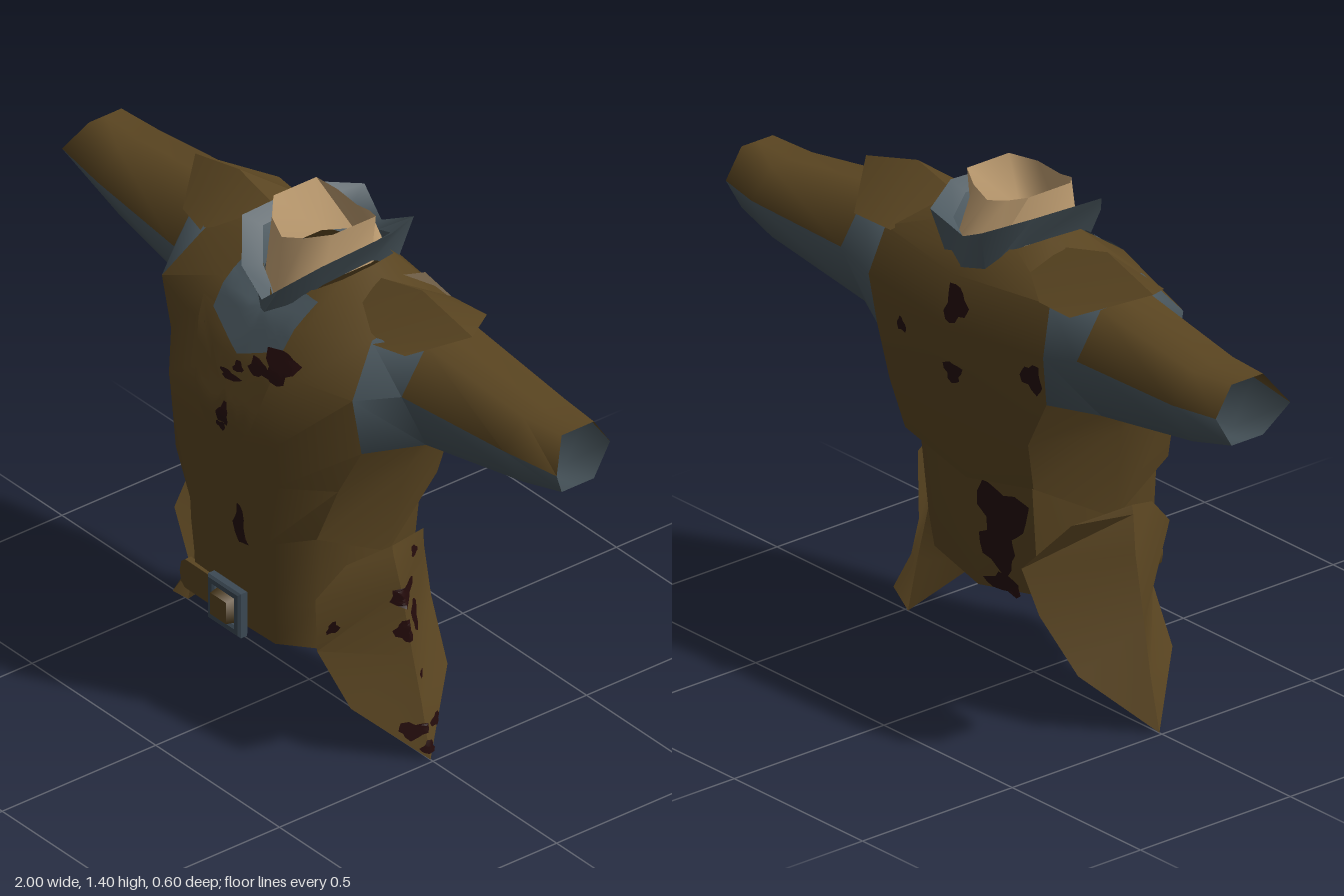
import * as THREE from 'three';
import { toCreasedNormals } from 'three/addons/utils/BufferGeometryUtils.js';

const mat = (name, color) => {
  const m = new THREE.MeshStandardMaterial({ color, side: THREE.DoubleSide });
  m.name = name;
  return m;
};

// Surface through rows of points; skip(i, j) leaves a cell open
function grid(rows, closed = false, crease = 0.9, skip = () => false) {
  const pos = [];
  const n = rows[0].length;
  for (let i = 0; i < rows.length - 1; i++) {
    for (let j = 0; j < (closed ? n : n - 1); j++) {
      if (skip(i, j)) continue;
      const k = (j + 1) % n;
      const a = rows[i][j], b = rows[i][k], c = rows[i + 1][j], d = rows[i + 1][k];
      pos.push(...a, ...b, ...d, ...a, ...d, ...c);
    }
  }
  const g = new THREE.BufferGeometry();
  g.setAttribute('position', new THREE.Float32BufferAttribute(pos, 3));
  g.computeVertexNormals();
  return toCreasedNormals(g, crease);
}

// Full ring from a half ring running front centre to back centre
const ring = half => [...half, ...half.slice(1, -1).reverse().map(([x, y, z]) => [-x, y, z])];

// Rows for one side, with the order flipped on the mirrored side
function sided(s, rows) {
  const r = rows.map(row => row.map(([x, y, z]) => [x * s, y, z]));
  return s > 0 ? r : r.reverse();
}

export function createModel() {
  const leather = mat('brown leather', 0x5a4521);
  const cloth = mat('slate cloth', 0x48555c);
  const lining = mat('tan lining', 0xc8a577);
  const metal = mat('buckle metal', 0x3c4954);
  const stain = mat('dark stain', 0x240b0b);

  const model = new THREE.Group();
  model.name = 'jacket';
  const add = (name, geo, material) => {
    const m = new THREE.Mesh(geo, material);
    m.name = name;
    model.add(m);
    return m;
  };

  // Jacket body, open at the armholes, neck and hem
  const body = [
    [[0, .52, .262], [.15, .58, .268], [.285, .64, .205], [.318, .54, 0], [.25, .66, -.215], [0, .61, -.225]],
    [[0, .78, .28], [.2, .78, .275], [.34, .8, .18], [.362, .8, -.02], [.27, .8, -.25], [0, .78, -.262]],
    [[0, .92, .29], [.22, .92, .28], [.385, .92, .14], [.395, .885, -.05], [.33, .93, -.24], [0, .95, -.285]],
    [[0, 1.08, .225], [.22, 1.09, .22], [.385, 1.09, .17], [.39, 1.08, -.08], [.34, 1.07, -.26], [0, 1.06, -.295]],
    [[0, 1.17, .165], [.17, 1.19, .155], [.34, 1.21, .07], [.35, 1.24, -.08], [.32, 1.2, -.22], [0, 1.19, -.268]],
    [[0, 1.2, .12], [.11, 1.25, .07], [.16, 1.285, .02], [.16, 1.29, -.08], [.13, 1.275, -.17], [0, 1.235, -.225]],
  ];
  const armhole = (i, j) => (i === 2 || i === 3) && [2, 3, 6, 7].includes(j);
  const jacket = add('jacketBody', grid(body.map(ring), true, .9, armhole), leather);

  // Waist section tucked under the jacket
  const waistRings = [
    [[0, .28, .245], [.16, .28, .24], [.245, .28, .17], [.26, .32, 0], [.2, .33, -.16], [0, .3, -.185]],
    [[0, .4, .25], [.16, .4, .245], [.26, .42, .175], [.28, .42, -.01], [.21, .42, -.17], [0, .42, -.195]],
    [[0, .66, .25], [.17, .68, .25], [.275, .72, .18], [.305, .68, 0], [.22, .74, -.2], [0, .7, -.215]],
  ];
  const waist = add('waist', grid(waistRings.map(ring), true), leather);

  // Flared collar, notched in a V at front and back, and its inner face
  const collarEdge = [[0, 1.2, .155], [.075, 1.267, .16], [.16, 1.35, .09], [.16, 1.36, -.14],
    [.1, 1.335, -.26], [0, 1.285, -.235]];
  const collarBase = [[0, 1.14, .165], [.065, 1.19, .125], [.105, 1.25, .04], [.105, 1.26, -.12],
    [.075, 1.2, -.225], [0, 1.195, -.25]];
  const collarInner = [[0, 1.19, .11], [.07, 1.25, .095], [.125, 1.32, .05], [.125, 1.33, -.12],
    [.08, 1.3, -.2], [0, 1.26, -.225]];
  add('collar', grid([collarBase, collarEdge].map(ring), true), cloth);
  add('collarInside', grid([collarEdge, collarInner].map(ring), true), cloth);

  // Standing neckband inside the collar
  const band = [
    [[0, 1.17, .115], [.06, 1.2, .1], [.1, 1.25, .04], [.1, 1.25, -.12], [.07, 1.24, -.2], [0, 1.24, -.23]],
    [[0, 1.362, .09], [.065, 1.382, .07], [.12, 1.4, .02], [.12, 1.4, -.12], [.065, 1.38, -.145], [0, 1.362, -.155]],
  ];
  add('neckband', grid(band.map(ring), true), lining);

  // Eight-point sleeve ring: front, over the top, back, under the arm
  const cuff = (x, tip, top, bottom, front, back) => {
    const f = front - (front - back) * .25, b = back + (front - back) * .25;
    const mid = (f + b) / 2;
    return [[tip, 1.1, front], [x, top, f], [x, top, mid], [x, top, b], [x, 1.1, back],
      [x, bottom, b], [x, bottom, mid], [x, bottom, f]];
  };
  const hole = [[3, 2], [4, 2], [4, 3], [4, 4], [3, 4], [2, 4], [2, 3], [2, 2]].map(([i, j]) => body[i][j]);
  const arm = [cuff(.955, 1, 1.18, 1.01, 0, -.21), cuff(.82, .82, 1.175, .98, .03, -.24),
    cuff(.46, .46, 1.22, .925, .07, -.25), hole];

  const flaps = [];
  for (const s of [1, -1]) {
    const side = s > 0 ? 'left' : 'right';
    // Sleeve: leather over the top, cloth underneath and all round the armhole
    const sleeve = grid(sided(s, arm), true, 1.3);
    const gussetRow = s > 0 ? 2 : 0;
    for (let i = 0; i < 3; i++) {
      sleeve.addGroup(i * 48, 24, i === gussetRow ? 1 : 0);
      sleeve.addGroup(i * 48 + 24, 24, 1);
    }
    add(side + 'Sleeve', sleeve, [leather, cloth]);

    // Peaked shoulder pad
    add(side + 'ShoulderPad', grid(sided(s, [
      [[.22, 1.245, .03], [.31, 1.2, .08], [.45, 1.21, .05]],
      [[.2, 1.275, -.07], [.37, 1.32, -.07], [.56, 1.27, -.08]],
      [[.22, 1.25, -.2], [.29, 1.2, -.23], [.42, 1.205, -.24]],
    ]), false, .5), leather);

    // Pointed hip flap: front edge, ridge, back edge from tip to top
    flaps.push(add(side + 'HipFlap', grid(sided(s, [
      [[.49, 0, 0], [.49, 0, 0], [.49, 0, 0]],
      [[.36, .15, .155], [.455, .15, 0], [.36, .16, -.16]],
      [[.255, .28, .18], [.425, .28, .005], [.25, .3, -.195]],
      [[.285, .46, .21], [.385, .46, .01], [.2, .42, -.212]],
      [[.31, .545, .13], [.365, .56, .02], [.3, .55, -.13]],
      [[.36, .585, .02], [.36, .585, .02], [.36, .585, .02]],
    ]), false, .6), leather));
  }

  // Belt tongue, buckle frame and the loop through it
  add('beltTongue', new THREE.BoxGeometry(.15, .085, .02).translate(-.11, .328, .246), leather);
  add('beltTongueEnd', new THREE.CylinderGeometry(.0425, .0425, .02, 8).rotateX(Math.PI / 2)
    .scale(.5, 1, 1).translate(-.185, .328, .246), leather);
  const rect = (P, r) => P.moveTo(-r, -r).lineTo(r, -r).lineTo(r, r).lineTo(-r, r).closePath();
  const frame = rect(new THREE.Shape(), .06);
  frame.holes.push(rect(new THREE.Path(), .046));
  add('buckleFrame', new THREE.ExtrudeGeometry(frame, {
    depth: .02, bevelThickness: .006, bevelSize: .006, bevelSegments: 1,
  }).translate(0, .33, .256), metal);
  add('beltLoop', new THREE.CylinderGeometry(.045, .055, .05, 4).rotateY(Math.PI / 4)
    .rotateX(Math.PI / 2).translate(0, .33, .272), leather);

  // Thin piece draped over the surfaces along one axis
  model.updateMatrixWorld(true);
  const targets = [jacket, waist, ...flaps];
  const caster = new THREE.Raycaster();
  const views = {
    front: { from: (u, v) => new THREE.Vector3(u, v, 5), dir: new THREE.Vector3(0, 0, -1) },
    back: { from: (u, v) => new THREE.Vector3(u, v, -5), dir: new THREE.Vector3(0, 0, 1) },
    side: { from: (u, v) => new THREE.Vector3(5, v, u), dir: new THREE.Vector3(-1, 0, 0) },
  };
  function drape(name, view, outline, lift, material) {
    const { from, dir } = views[view];
    const cu = outline.reduce((t, p) => t + p[0], 0) / outline.length;
    const cv = outline.reduce((t, p) => t + p[1], 0) / outline.length;
    const depth = (u, v) => {
      caster.set(from(u, v), dir);
      return caster.intersectObjects(targets)[0]?.distance ?? Infinity;
    };
    const middle = depth(cu, cv);
    const place = (u, v) => {
      const d = depth(u, v);
      return from(u, v).addScaledVector(dir, (Math.abs(d - middle) < .14 ? d : middle) - lift).toArray();
    };
    const rows = [0, .25, .5, .75, 1].map(t => outline.map(([u, v]) =>
      place(cu + (u - cu) * t, cv + (v - cv) * t)));
    if (view === 'front') rows.reverse();
    add(name, grid(rows, true), material);
  }
  const refine = pts => pts.flatMap((p, i) => {
    const q = pts[(i + 1) % pts.length];
    return [0, .25, .5, .75].map(t => [p[0] + (q[0] - p[0]) * t, p[1] + (q[1] - p[1]) * t]);
  });

  // Chest panel and shirt front
  drape('chestPanel', 'front', refine([[0, .78], [.12, .92], [.15, 1.12], [-.19, 1.14], [-.12, .95]]), .004, leather);
  drape('shirtFront', 'front', refine([[0, 1.07], [.14, 1.13], [.148, 1.24], [.1, 1.24], [0, 1.18],
    [-.1, 1.24], [-.148, 1.24], [-.14, 1.13]]), .007, cloth);

  // Stains: view, centre and radii
  const stains = [
    ['front', .155, 1.1, .055, .04], ['front', .09, 1.07, .04, .02], ['front', .015, .92, .022, .028],
    ['front', .01, .885, .018, .012], ['front', 0, 1.015, .04, .01], ['front', .02, 1.045, .018, .014],
    ['front', .06, .6, .022, .06],
    ['back', -.11, .54, .085, .085], ['back', -.09, .43, .06, .06], ['back', -.1, .335, .06, .025],
    ['back', -.03, 1.12, .035, .05], ['back', -.02, .93, .03, .03], ['back', -.3, 1.0, .035, .04],
    ['back', .2, .98, .02, .02], ['side', -.01, .44, .055, .025], ['side', -.045, .36, .022, .04],
    ['side', .015, .35, .02, .03], ['side', .16, .36, .014, .02], ['side', .03, .085, .035, .022],
    ['side', -.045, .085, .025, .014], ['side', 0, .035, .02, .018], ['side', -.065, .53, .014, .014],
    ['side', -.02, .22, .01, .01],
  ];
  stains.forEach(([view, u, v, ru, rv], i) => {
    const outline = Array.from({ length: 14 }, (_, k) => {
      const a = k / 14 * Math.PI * 2;
      const r = 1 + .22 * Math.sin(3 * a + i * 1.7) + .14 * Math.sin(5 * a + i * 2.9);
      return [u + ru * r * Math.cos(a), v + rv * r * Math.sin(a)];
    });
    drape('stain', view, outline, .009, stain);
  });

  return model;
}
